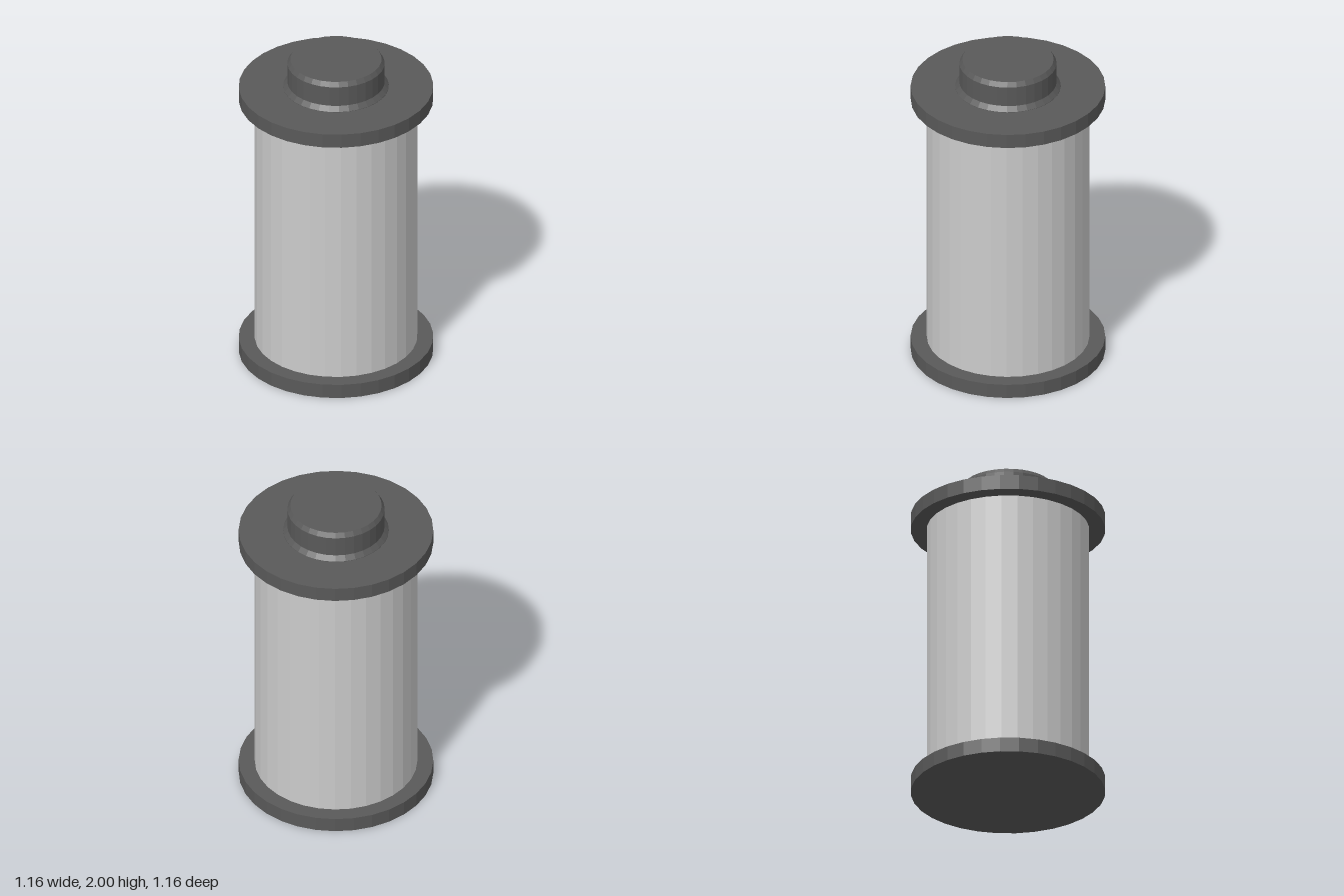
import * as THREE from 'three';

const SIDES = 32;

export function createModel() {
  const model = new THREE.Group();
  const pale = new THREE.MeshStandardMaterial({ color: 0xcccccc, flatShading: true });
  const dark = new THREE.MeshStandardMaterial({ color: 0x595959, flatShading: true });

  // Adds an upright faceted cylinder between two heights
  function addDisc(name, radius, bottom, top, material) {
    const geometry = new THREE.CylinderGeometry(radius, radius, top - bottom, SIDES);
    const mesh = new THREE.Mesh(geometry, material);
    mesh.name = name;
    mesh.position.y = (bottom + top) / 2;
    model.add(mesh);
  }

  // Barrel between two wide flanges
  addDisc('bottomFlange', 0.58, 0, 0.09, dark);
  addDisc('barrel', 0.485, 0.09, 1.725, pale);
  addDisc('topFlange', 0.58, 1.725, 1.815, dark);

  // Knob with a flared foot and a chamfered rim
  const profile = [
    [0.315, 1.812], [0.315, 1.817], [0.29, 1.845], [0.29, 1.972], [0.272, 2], [0, 2],
  ].map(([r, y]) => new THREE.Vector2(r, y));
  const knob = new THREE.Mesh(new THREE.LatheGeometry(profile, SIDES), dark);
  knob.name = 'knob';
  model.add(knob);

  return model;
}
